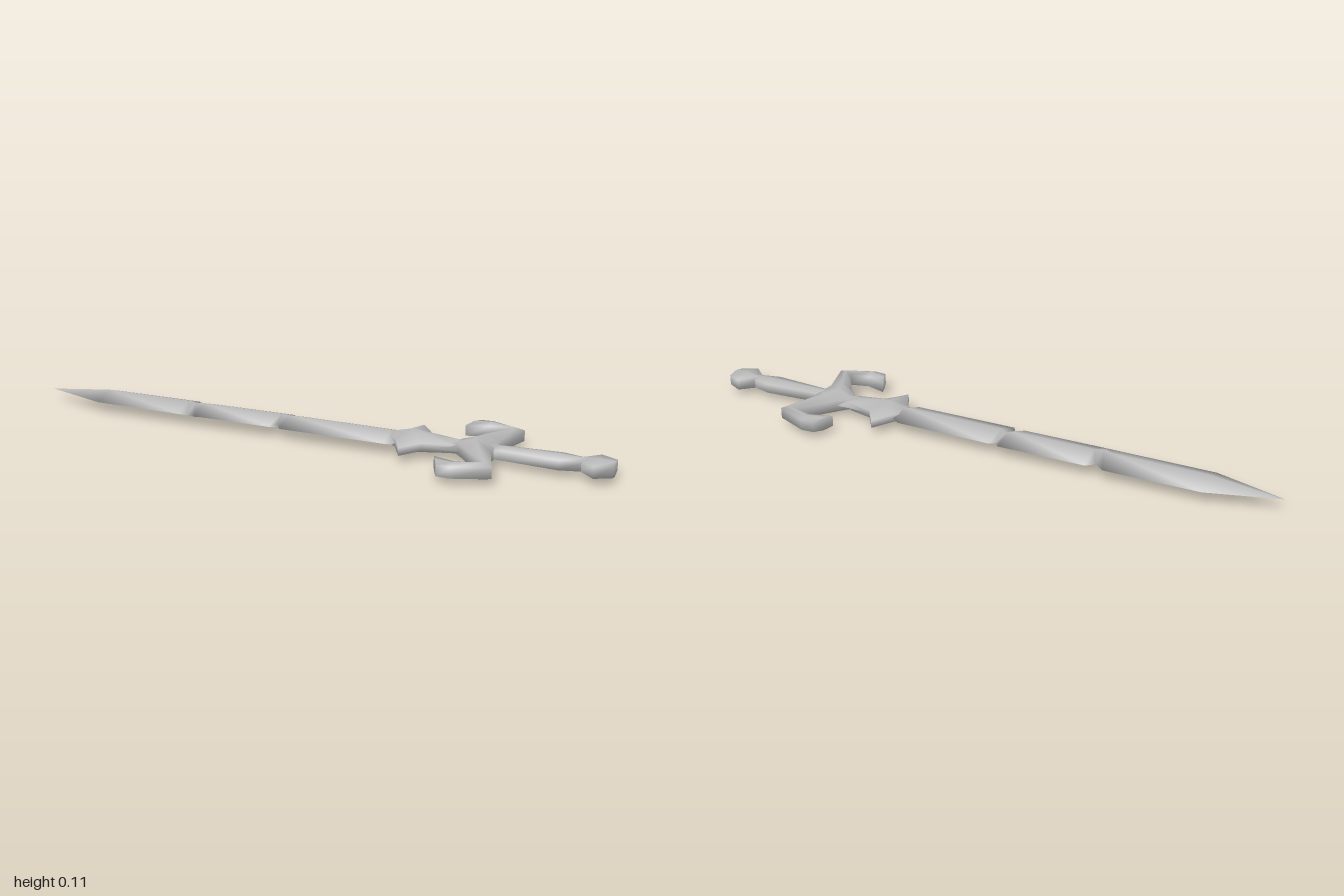
import * as THREE from 'three';

const steel = new THREE.MeshStandardMaterial({ color: 0xb8b8b8 });
steel.name = 'steel grey';

// Indexed smooth mesh; faces are turned outward using the signed volume
function solid(name, points, faces) {
  const p = points.map(q => new THREE.Vector3(...q));
  let volume = 0;
  for (const [a, b, c] of faces) volume += p[a].dot(p[b].clone().cross(p[c]));
  const index = faces.flatMap(([a, b, c]) => (volume < 0 ? [a, c, b] : [a, b, c]));
  const g = new THREE.BufferGeometry();
  g.setAttribute('position', new THREE.Float32BufferAttribute(points.flat(), 3));
  g.setIndex(index);
  g.computeVertexNormals();
  const mesh = new THREE.Mesh(g, steel);
  mesh.name = name;
  return mesh;
}

// Loft of ridged cross-sections. Station: [[v,u] one edge, [v,u] other edge, rim, ridge]
// v runs across the sword, u along it toward the tip.
function loft(name, stations) {
  const sharp = stations.every(s => s[2] === 0);
  const points = [], faces = [];
  for (const [a, b, rim, ridge] of stations) {
    const m = [(a[0] + b[0]) / 2, (a[1] + b[1]) / 2];
    const ring = sharp
      ? [[a, 0], [m, ridge], [b, 0], [m, -ridge]]
      : [[a, rim], [m, ridge], [b, rim], [b, -rim], [m, -ridge], [a, -rim]];
    for (const [[v, u], y] of ring) points.push([v, y, -u]);
  }
  const n = sharp ? 4 : 6;
  for (let s = 0; s < stations.length - 1; s++) {
    for (let i = 0; i < n; i++) {
      const a = s * n + i, b = s * n + (i + 1) % n;
      faces.push([a, b, b + n], [a, b + n, a + n]);
    }
  }
  const last = (stations.length - 1) * n;
  for (let i = 1; i < n - 1; i++) {
    faces.push([0, i + 1, i], [last, last + i, last + i + 1]);
  }
  return solid(name, points, faces);
}

// Symmetric station at u with half width w
const even = (u, w, rim, ridge) => [[-w, u], [w, u], rim, ridge];

// Domed plate: an outline with a thin rim, raised to a point at the centre
function dome(name, outline, centre, rim, height) {
  const n = outline.length, points = [], faces = [];
  for (const y of [rim, -rim]) for (const [v, u] of outline) points.push([v, y, -u]);
  points.push([0, height, -centre], [0, -height, -centre]);
  for (let i = 0; i < n; i++) {
    const j = (i + 1) % n;
    faces.push([i, j, 2 * n], [n + j, n + i, 2 * n + 1], [j, i, n + i], [j, n + i, n + j]);
  }
  return solid(name, points, faces);
}

export function createModel() {
  const sword = new THREE.Group();
  sword.name = 'sword';

  // Diamond-section blade with chipped edges
  sword.add(loft('blade', [
    even(-0.42, 0.06, 0, 0.035),
    even(-0.368, 0.099, 0, 0.035),
    [[-0.103, 0.13], [0.1, 0.1], 0, 0.035],
    [[-0.045, 0.167], [0.078, 0.124], 0, 0.027],
    [[-0.097, 0.187], [0.106, 0.148], 0, 0.035],
    even(0.566, 0.1, 0, 0.035),
    [[-0.1, 0.605], [0.064, 0.601], 0, 0.034],
    [[-0.1, 0.65], [0.106, 0.65], 0, 0.035],
    even(1.089, 0.1, 0, 0.035),
    even(1.414, 0, 0, 0),
  ]));

  // Neck between star and guard
  sword.add(loft('neck', [even(-0.38, 0.066, 0, 0.035), even(-0.76, 0.066, 0, 0.035)]));

  // Star whose lowest point runs down into the guard
  const half = [[0.065, -0.412], [0.169, -0.466], [0.075, -0.535], [0.045, -0.66]];
  const mirrored = half.map(([v, u]) => [-v, u]).reverse();
  sword.add(dome('star', [[0, -0.329], ...half, [0, -0.72], ...mirrored], -0.47, 0.018, 0.055));

  // Crossguard with hooked ends, mirrored about the middle
  const arm = [
    [[0.219, -0.643], [0.318, -0.686], 0.025, 0.032],
    [[0.247, -0.742], [0.322, -0.746], 0.025, 0.035],
    [[0.226, -0.834], [0.255, -0.905], 0.025, 0.038],
    [[0.075, -0.725], [0.074, -0.845], 0.025, 0.052],
    [[0.014, -0.667], [0.014, -0.85], 0.025, 0.055],
  ];
  const otherArm = arm.map(([a, b, rim, ridge]) => [[-a[0], a[1]], [-b[0], b[1]], rim, ridge]).reverse();
  sword.add(loft('crossguard', [...arm, ...otherArm]));

  // Grip
  sword.add(loft('grip', [
    even(-0.8, 0.034, 0.022, 0.033),
    even(-0.88, 0.036, 0.022, 0.033),
    even(-1.13, 0.053, 0.022, 0.034),
    even(-1.24, 0.026, 0.022, 0.032),
  ]));

  // Five-sided pommel
  sword.add(loft('pommel', [
    even(-1.21, 0.02, 0.022, 0.03),
    even(-1.285, 0.084, 0.025, 0.036),
    even(-1.358, 0.049, 0.024, 0.034),
  ]));

  // Lay the sword diagonally, resting on its underside
  sword.rotation.y = Math.PI / 4;
  sword.position.y = 0.055;
  const model = new THREE.Group();
  model.name = 'swordModel';
  model.add(sword);
  return model;
}
